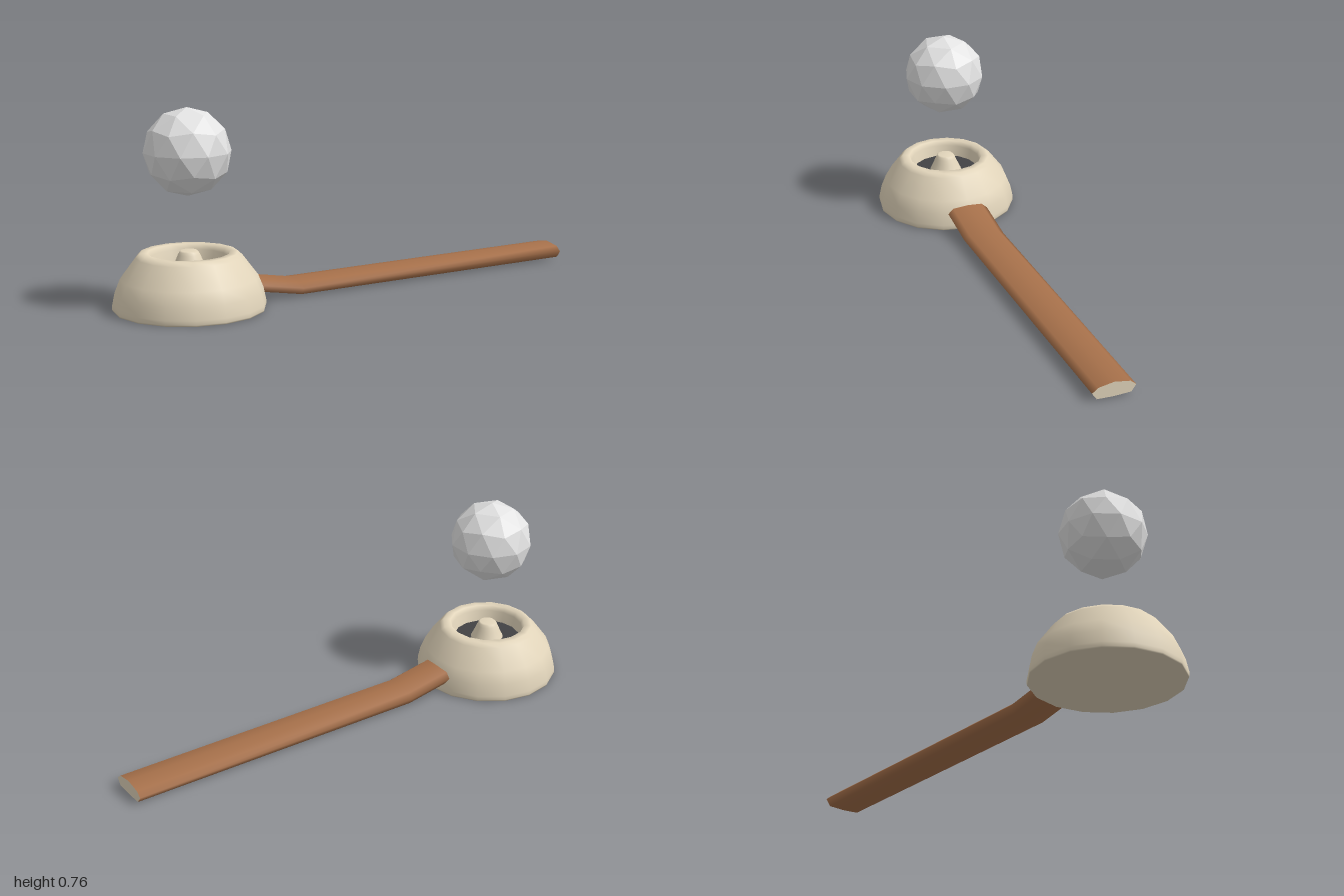
import * as THREE from 'three';

const cream = new THREE.MeshStandardMaterial({ name: 'cream', color: 0xe2d5bb });
const wood = new THREE.MeshStandardMaterial({ name: 'wood brown', color: 0xa6704a });
const stone = new THREE.MeshStandardMaterial({ name: 'stone grey', color: 0xe2e2e2 });
const dark = new THREE.MeshStandardMaterial({ name: 'dark grey', color: 0x424244 });

const CENTRE_X = -0.71;

function add(parent, name, geometry, material, x = 0, y = 0) {
  const mesh = new THREE.Mesh(geometry, material);
  mesh.name = name;
  mesh.position.set(x, y, 0);
  parent.add(mesh);
  return mesh;
}

function lathe(points, segments) {
  return new THREE.LatheGeometry(points.map(([r, y]) => new THREE.Vector2(r, y)), segments);
}

// Joins copies of one (z, y) section placed at stations along x
function sweep(section, stations) {
  const n = section.length;
  const positions = [];
  const indices = [];
  for (const [x, lift] of stations) {
    for (const [z, y] of section) positions.push(x, y + lift, z);
  }
  for (let s = 0; s < stations.length - 1; s++) {
    for (let i = 0; i < n; i++) {
      const a = s * n + i;
      const b = s * n + (i + 1) % n;
      indices.push(a, b, a + n, b, b + n, a + n);
    }
  }
  const geometry = new THREE.BufferGeometry();
  geometry.setAttribute('position', new THREE.Float32BufferAttribute(positions, 3));
  geometry.setIndex(indices);
  geometry.computeVertexNormals();
  return geometry;
}

export function createModel() {
  const model = new THREE.Group();
  model.name = 'bowlWithHandleAndBall';

  // Bowl: closed base, rounded wall, rim and sunken inside wall
  add(model, 'bowl', lathe([
    [0, 0], [0.288, 0], [0.29, 0.006], [0.29, 0.022], [0.28, 0.07], [0.26, 0.12],
    [0.2, 0.2], [0.184, 0.215], [0.155, 0.215], [0.146, 0.195], [0.134, 0.145],
  ], 16), cream, CENTRE_X);

  // Dark floor inside the bowl
  const floor = new THREE.CircleGeometry(0.138, 16);
  floor.rotateX(-Math.PI / 2);
  add(model, 'bowlFloor', floor, dark, CENTRE_X, 0.152);

  // Bell-shaped knob in the middle of the floor
  add(model, 'knob', lathe([
    [0.068, 0.15], [0.059, 0.168], [0.049, 0.19], [0.042, 0.207],
    [0.036, 0.217], [0.031, 0.222], [0, 0.222],
  ], 16), cream, CENTRE_X);

  // Handle: flattened eight-sided bar that bends up into the bowl
  const section = [
    [0, 0.066], [0.064, 0.055], [0.087, 0.036], [0.068, 0.009],
    [0, 0.006], [-0.068, 0.009], [-0.087, 0.036], [-0.064, 0.055],
  ];
  add(model, 'handle', sweep(section, [[-0.47, 0.038], [-0.26, 0], [1, 0]]), wood);

  // Cut end of the handle
  const cut = new THREE.ShapeGeometry(
    new THREE.Shape(section.map(([z, y]) => new THREE.Vector2(-z, y))));
  cut.rotateY(Math.PI / 2);
  add(model, 'handleEnd', cut, cream, 1);

  // Faceted ball floating above, with one corner pointing straight up
  const ball = new THREE.IcosahedronGeometry(0.1665, 1);
  ball.rotateX(-Math.atan((1 + Math.sqrt(5)) / 2));
  ball.rotateY(Math.PI / 2);
  ball.computeVertexNormals();
  add(model, 'ball', ball, stone, CENTRE_X, 0.5955);

  return model;
}
